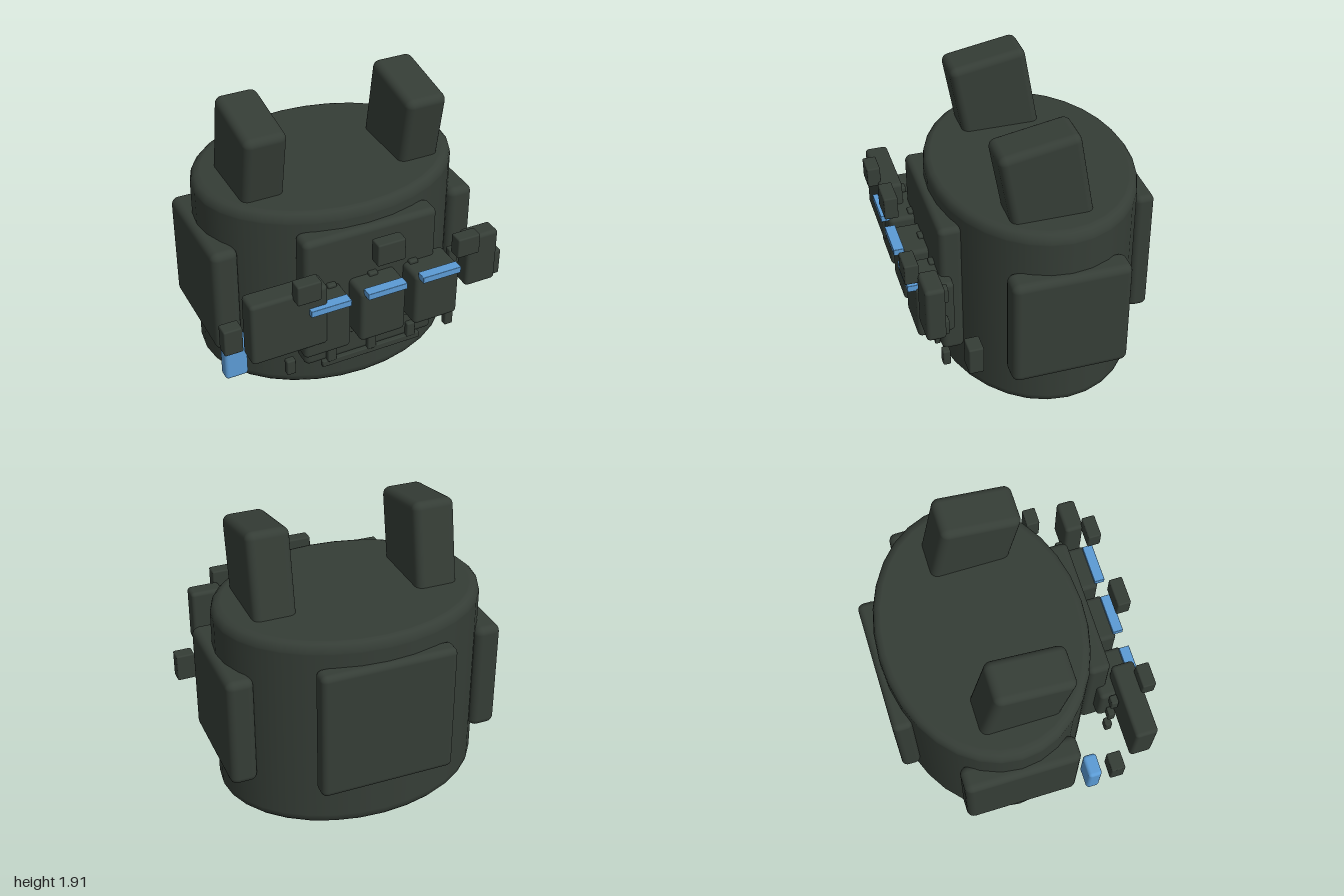
import * as THREE from 'three';
import { RoundedBoxGeometry } from 'three/addons/geometries/RoundedBoxGeometry.js';

export function createModel() {
  const model = new THREE.Group();
  model.name = 'plateCarrierVest';
  const fabric = new THREE.MeshStandardMaterial({ color: 0x353d36 });
  fabric.name = 'dark green fabric';
  const blue = new THREE.MeshStandardMaterial({ color: 0x5b9bd5 });
  blue.name = 'blue accent';

  // Rounded box given by its extents on each axis
  function block(name, [x0, x1], [y0, y1], [z0, z1], radius, material = fabric) {
    const geometry = new RoundedBoxGeometry(x1 - x0, y1 - y0, z1 - z0, 3, radius);
    const mesh = new THREE.Mesh(geometry, material);
    mesh.position.set((x0 + x1) / 2, (y0 + y1) / 2, (z0 + z1) / 2);
    mesh.name = name;
    model.add(mesh);
    return mesh;
  }

  // Oval torso with rounded rims
  const R = 0.89, H = 1.36, b = 0.06;
  const profile = [new THREE.Vector2(0, 0), new THREE.Vector2(R - b - 0.01, 0)];
  for (let i = 0; i <= 3; i++) {
    const a = (i / 3) * Math.PI / 2;
    profile.push(new THREE.Vector2(R - b + b * Math.sin(a), b - b * Math.cos(a)));
  }
  profile.push(new THREE.Vector2(R, b + 0.01), new THREE.Vector2(R, H - b - 0.01));
  for (let i = 0; i <= 3; i++) {
    const a = (i / 3) * Math.PI / 2;
    profile.push(new THREE.Vector2(R - b + b * Math.cos(a), H - b + b * Math.sin(a)));
  }
  profile.push(new THREE.Vector2(R - b - 0.01, H), new THREE.Vector2(0, H));
  const torso = new THREE.Mesh(new THREE.LatheGeometry(profile, 32), fabric);
  torso.scale.z = 0.675 / R;
  torso.position.z = -0.135;
  torso.name = 'torso';
  model.add(torso);

  // Front and back armour panels
  block('frontPanel', [-0.467, 0.463], [0.265, 1.235], [0.44, 0.592], 0.04);
  block('backPanel', [-0.455, 0.45], [0.3, 1.2], [-0.85, -0.72], 0.04);

  // Shoulder straps leaning forward, and side panels
  for (const s of [-1, 1]) {
    const side = s > 0 ? 'left' : 'right';
    const strap = block(side + 'ShoulderStrap', [s * 0.55 - 0.142, s * 0.55 + 0.142],
      [1.175, 1.875], [-0.306, 0.214], 0.05);
    strap.rotation.x = 0.174;
    block(side + 'SidePanel', [s * 0.85 - 0.09, s * 0.85 + 0.09], [0.3, 1.07], [-0.52, 0.255], 0.05);
    block(side + 'Buckle', [s * 0.937 - 0.063, s * 0.937 + 0.063], [0.525, 0.715], [0.46, 0.555], 0.01);
    block(side + 'ChestClip', [s * 0.549 - 0.079, s * 0.549 + 0.079], [1.005, 1.145], [0.758, 0.848], 0.01);
  }
  block('centreChestClip', [-0.095, 0.095], [1.125, 1.28], [0.758, 0.848], 0.01);

  // Three magazine pouches with blue pull strips
  for (const x of [-0.388, 0, 0.386]) {
    block('magazinePouch', [x - 0.16, x + 0.16], [0.492, 0.88], [0.52, 0.765], 0.03);
    block('pouchStrip', [x - 0.136, x + 0.136], [0.86, 0.905], [0.745, 0.815], 0.004, blue);
  }

  // Large and small utility pouches
  block('largeUtilityPouch', [-0.905, -0.395], [0.59, 1.04], [0.627, 0.78], 0.025);
  block('smallUtilityPouch', [0.595, 0.817], [0.685, 1.07], [0.642, 0.768], 0.025);

  // Blue hip canister
  block('hipCanister', [-0.955, -0.797], [0.205, 0.525], [0.33, 0.425], 0.025, blue);

  // Rows of horizontal webbing with loops
  for (const y of [0.262, 0.488, 0.715]) {
    block('webbingStrip', [-0.357, 0.357], [y - 0.023, y + 0.023], [0.583, 0.617], 0.006);
  }
  for (const y of [0.33, 0.588, 0.845]) {
    for (let i = -2; i <= 2; i++) {
      const x = i * 0.29;
      block('webbingLoop', [x - 0.031, x + 0.031], [y - 0.056, y + 0.056], [0.575, 0.625], 0.01);
    }
  }
  return model;
}
